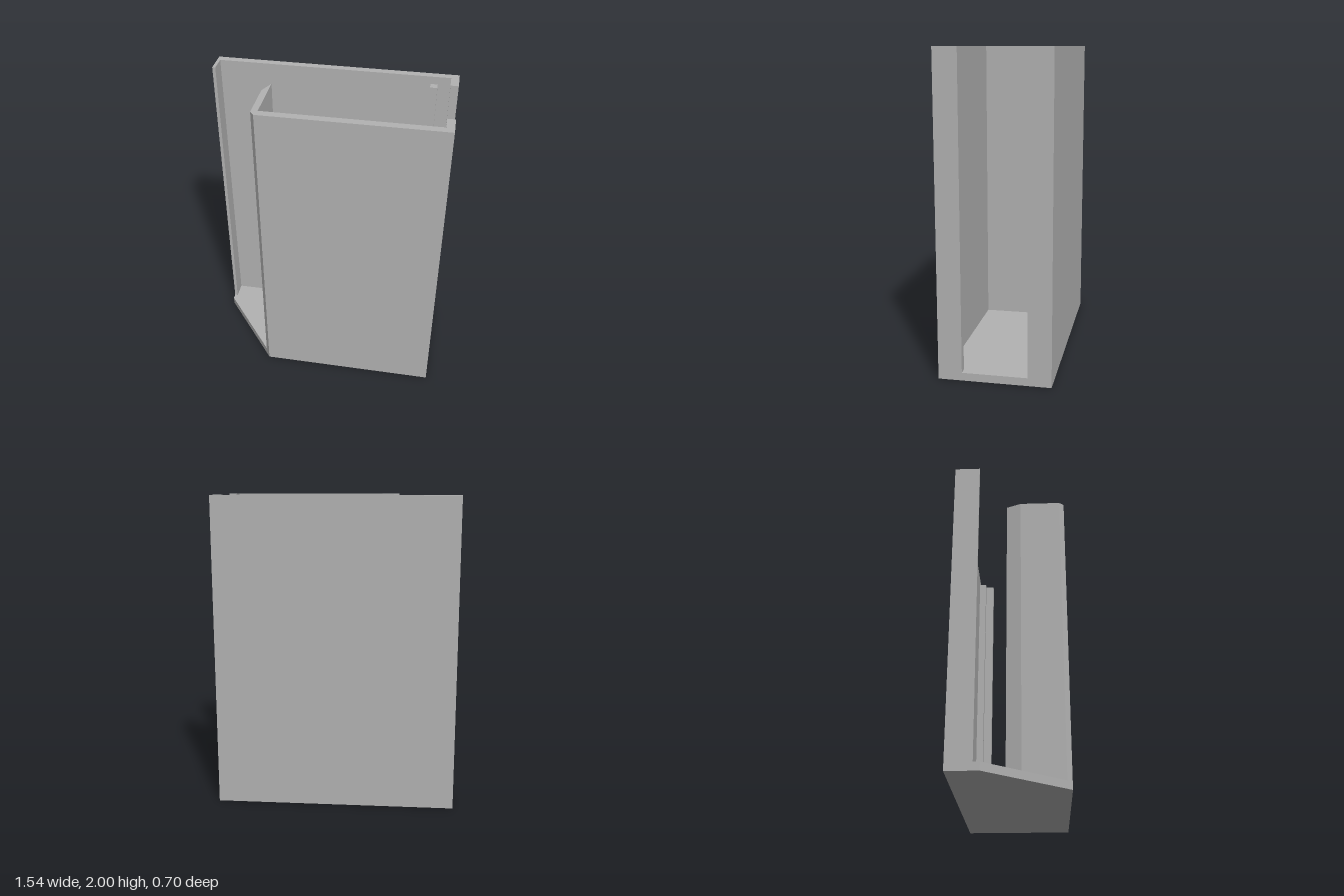
import * as THREE from 'three';

const FLOOR = 0.05, TOP = 2;

export function createModel() {
  const group = new THREE.Group();
  const grey = new THREE.MeshStandardMaterial({ color: 0xb2b2b2 });
  grey.name = 'grey';

  // Upright prism from an [x, z] outline, between heights y0 and y1
  function prism(name, outline, y0, y1) {
    const shape = new THREE.Shape(outline.map(([x, z]) => new THREE.Vector2(x, -z)));
    const geometry = new THREE.ExtrudeGeometry(shape, { depth: y1 - y0, bevelEnabled: false });
    geometry.rotateX(-Math.PI / 2).translate(0, y0, 0);
    const mesh = new THREE.Mesh(geometry, grey);
    mesh.name = name;
    group.add(mesh);
  }
  const rect = (x0, x1, z0, z1) => [[x0, z0], [x0, z1], [x1, z1], [x1, z0]];

  // Floor with one slanted corner
  prism('floor', [[-0.77, -0.35], [-0.77, -0.155], [-0.365, 0.35], [0.77, 0.35], [0.77, -0.35]], 0, FLOOR);

  // Back wall with a short return at each end
  prism('backWall', [
    [-0.77, -0.35], [-0.77, -0.193], [-0.75, -0.193], [-0.75, -0.303],
    [0.72, -0.303], [0.72, -0.204], [0.77, -0.204], [0.77, -0.35],
  ], FLOOR, TOP);

  // Front wall with a door lip and a side wall ending in a bevel
  prism('frontWall', [
    [-0.365, 0.35], [0.77, 0.35], [0.77, 0.202], [0.72, 0.202], [0.72, 0.3],
    [-0.35, 0.3], [-0.35, -0.04], [-0.39, 0.055], [-0.39, 0.319],
  ], FLOOR, TOP);

  // Guide rails just inside the doorway, slightly shorter than the walls
  prism('backRail', rect(0.597, 0.642, -0.303, -0.255), FLOOR, 1.95);
  prism('frontRail', rect(0.597, 0.642, 0.25, 0.3), FLOOR, 1.95);

  // Small notched clip on the floor against the back wall
  const clip = [[-0.303, -0.255, 0.15], [-0.255, -0.213, 0.1], [-0.213, -0.168, 0.15]];
  clip.forEach(([z0, z1, h], i) => prism('clipStep' + (i + 1), rect(-0.095, 0.026, z0, z1), FLOOR, h));

  return group;
}
